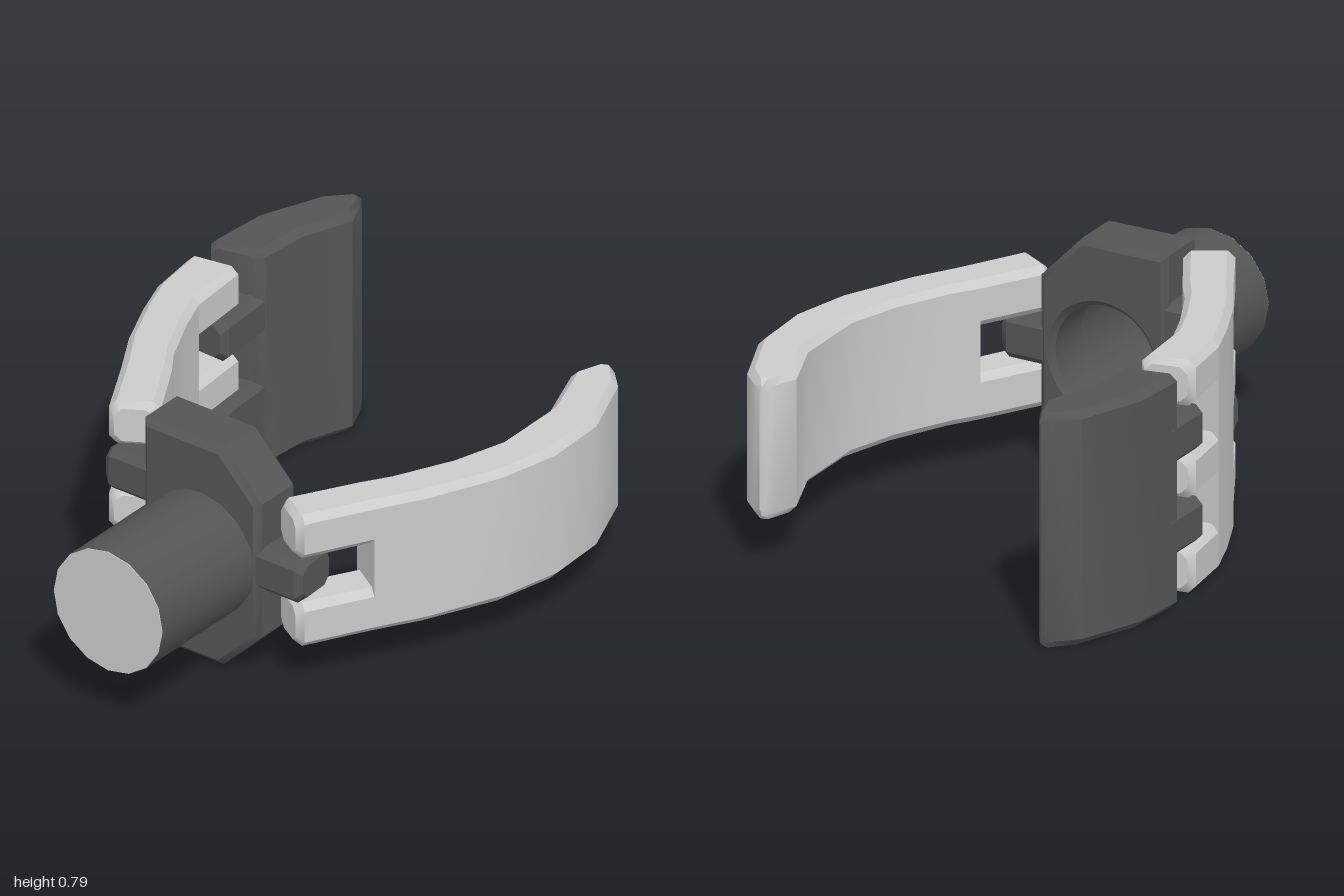
import * as THREE from 'three';
import { toCreasedNormals } from 'three/addons/utils/BufferGeometryUtils.js';

const light = new THREE.MeshStandardMaterial({ color: 0xcccccc });
const dark = new THREE.MeshStandardMaterial({ color: 0x555555 });
const darkOpen = new THREE.MeshStandardMaterial({ color: 0x555555, side: THREE.DoubleSide });

const MID = 0.395; // height of the model's centre line
const BEVEL = 0.024;

// Chamfered bar swept through stations [innerX, innerZ, outerX, outerZ], between heights y0 and y1.
function bar(stations, y0, y1, { start = false, end = false } = {}) {
  const rings = [];
  const addRing = ([ix, iz, ox, oz], inset) => {
    const w = Math.hypot(ox - ix, oz - iz);
    const b = Math.min(BEVEL, w * 0.3) / w;
    const t0 = inset ? b * 0.8 : 0, t1 = 1 - t0;
    const lo = y0 + (inset ? BEVEL * 0.8 : 0), hi = y1 - (inset ? BEVEL * 0.8 : 0);
    const section = [[t0 + b, lo], [t1 - b, lo], [t1, lo + BEVEL], [t1, hi - BEVEL],
      [t1 - b, hi], [t0 + b, hi], [t0, hi - BEVEL], [t0, lo + BEVEL]];
    rings.push(section.map(([t, y]) => [ix + (ox - ix) * t, y, iz + (oz - iz) * t]));
  };
  // station moved a little from an end towards its neighbour
  const step = (a, c) => {
    const d = Math.hypot((c[0] + c[2] - a[0] - a[2]) / 2, (c[1] + c[3] - a[1] - a[3]) / 2);
    return a.map((v, i) => v + (c[i] - v) * Math.min(0.4, BEVEL / d));
  };
  const n = stations.length;
  stations.forEach((s, i) => {
    if (i === 0 && start) { addRing(s, true); addRing(step(s, stations[1]), false); }
    else if (i === n - 1 && end) { addRing(step(s, stations[n - 2]), false); addRing(s, true); }
    else addRing(s, false);
  });
  const index = [], last = (rings.length - 1) * 8;
  for (let r = 0; r < rings.length - 1; r++) {
    for (let k = 0; k < 8; k++) {
      const a = r * 8 + k, b = r * 8 + (k + 1) % 8;
      index.push(a, b, b + 8, a, b + 8, a + 8);
    }
  }
  for (let k = 1; k < 7; k++) index.push(0, k + 1, k, last, last + k, last + k + 1);
  // turn the faces outward whichever way the sweep runs
  const pts = rings.flat().map(p => new THREE.Vector3(...p));
  let volume = 0;
  for (let i = 0; i < index.length; i += 3) {
    volume += pts[index[i]].dot(pts[index[i + 1]].clone().cross(pts[index[i + 2]]));
  }
  if (volume < 0) index.reverse();
  const geo = new THREE.BufferGeometry().setFromPoints(pts);
  geo.setIndex(index);
  return toCreasedNormals(geo, 0.6);
}

function add(parent, name, geo, material) {
  const mesh = new THREE.Mesh(geo, material);
  mesh.name = name;
  parent.add(mesh);
  return mesh;
}

function group(parent, name) {
  const g = new THREE.Group();
  g.name = name;
  parent.add(g);
  return g;
}

const mirror = stations => stations.map(([a, b, c, d]) => [-a, b, -c, d]);

export function createModel() {
  const model = new THREE.Group();
  model.name = 'gripperClaw';

  // Hub plate: straight on one side, cut corners on the other, round bore
  const hub = group(model, 'hub');
  const b = 0.02;
  const plate = new THREE.Shape([[-0.23, 0.005], [0.08, 0.005], [0.23, 0.155], [0.23, 0.635], [0.08, 0.79], [-0.23, 0.79]]
    .map(p => new THREE.Vector2(...p)));
  const bore = new THREE.Path();
  bore.absarc(0, MID, 0.2 - b, 0, Math.PI * 2, true);
  plate.holes.push(bore);
  const plateGeo = new THREE.ExtrudeGeometry(plate, {
    depth: 0.2 - 2 * b, bevelThickness: b, bevelSize: b, bevelOffset: -b, bevelSegments: 1, curveSegments: 16,
  });
  plateGeo.translate(0, 0, 0.33 + b);
  add(hub, 'hubPlate', toCreasedNormals(plateGeo, 0.6), dark);

  // Hinge tabs on the hub
  const hubTab = [[0.2, 0.34, 0.2, 0.525], [0.38, 0.345, 0.39, 0.525]];
  add(hub, 'leftHubTab', bar(hubTab, 0.325, 0.475, { end: true }), dark);
  const tabBands = [[0.17, 0.32], [0.48, 0.63]];
  for (const [lo, hi] of tabBands) {
    add(hub, 'rightHubTab', bar(mirror(hubTab), lo, hi, { end: true }), dark);
  }

  // Hollow wrist tube with a pale end cap
  const tubeProfile = [[0.2, 0.34], [0.2, 0.98], [0.215, 0.998], [0.215, 0.5]].map(p => new THREE.Vector2(...p));
  const tubeGeo = new THREE.LatheGeometry(tubeProfile, 16);
  tubeGeo.rotateX(Math.PI / 2);
  const tube = add(model, 'wristTube', toCreasedNormals(tubeGeo, 0.6), darkOpen);
  tube.position.y = MID;
  const capGeo = new THREE.CylinderGeometry(0.214, 0.214, 0.02, 16);
  capGeo.rotateX(Math.PI / 2);
  add(model, 'wristCap', capGeo, light).position.set(0, MID, 0.99);

  // Shared run of the curved fingers, from the hinge outward
  const root = [0.235, 0.43, 0.375, 0.515];
  const notch = [0.365, 0.2, 0.5, 0.285];
  const bend = [0.42, 0.12, 0.59, 0.13];

  // Single narrow finger with a forked root
  const leftFinger = group(model, 'leftFinger');
  for (const [lo, hi] of [[0.16, 0.318], [0.478, 0.635]]) {
    add(leftFinger, 'leftFingerFork', bar([root, notch], lo, hi, { start: true }), light);
  }
  add(leftFinger, 'leftFingerBody', bar([
    notch, bend, [0.515, -0.07, 0.7, -0.12], [0.57, -0.25, 0.745, -0.33],
    [0.565, -0.53, 0.735, -0.545], [0.485, -0.74, 0.64, -0.78], [0.53, -0.845, 0.555, -0.865],
  ], 0.16, 0.635, { end: true }), light);

  // Wide jointed finger: lower link forked at both ends
  const rightFinger = group(model, 'rightFinger');
  const farNotch = [0.545, -0.17, 0.715, -0.18];
  const farEnd = [0.565, -0.42, 0.742, -0.385];
  for (const [lo, hi] of [[0.005, 0.165], [0.325, 0.475], [0.635, 0.79]]) {
    add(rightFinger, 'rightLinkFork', bar(mirror([root, notch]), lo, hi, { start: true }), light);
    add(rightFinger, 'rightLinkFarFork', bar(mirror([farNotch, farEnd]), lo, hi, { end: true }), light);
  }
  add(rightFinger, 'rightLinkBody',
    bar(mirror([notch, bend, [0.5, -0.05, 0.665, -0.04], farNotch]), 0.005, 0.79), light);

  // Fingertip with two tabs reaching into the link
  const tip = group(rightFinger, 'rightFingertip');
  add(tip, 'fingertipBody', bar(mirror([
    [0.56, -0.505, 0.747, -0.465], [0.545, -0.7, 0.73, -0.69],
    [0.48, -0.87, 0.645, -0.91], [0.53, -0.985, 0.55, -1],
  ]), 0, 0.79, { start: true, end: true }), dark);
  for (const [lo, hi] of tabBands) {
    add(tip, 'fingertipTab',
      bar(mirror([[0.56, -0.53, 0.745, -0.52], [0.545, -0.3, 0.745, -0.31]]), lo, hi, { end: true }), dark);
  }

  return model;
}
